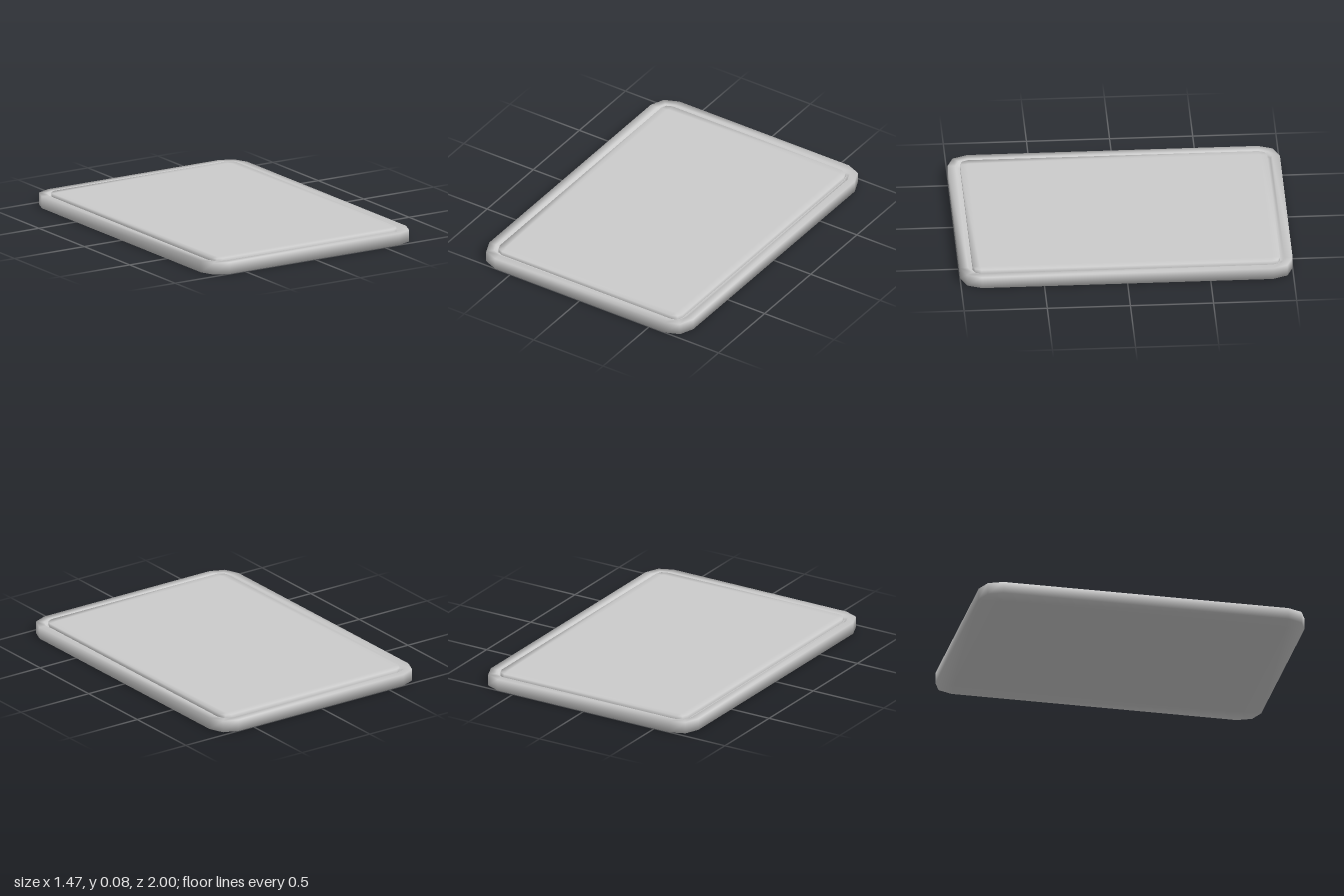
import * as THREE from 'three';

const HALF_X = 0.735, HALF_Z = 1, RADIUS = 0.125, CORNER_STEPS = 2;

// Rounded-rectangle outline, pulled in by `inset`, at height y
function ring(inset, y) {
  const points = [], r = RADIUS - inset;
  for (let corner = 0; corner < 4; corner++) {
    const sx = corner === 0 || corner === 3 ? 1 : -1;
    const sz = corner < 2 ? 1 : -1;
    for (let i = 0; i <= CORNER_STEPS; i++) {
      const a = (corner + i / CORNER_STEPS) * Math.PI / 2;
      points.push([
        sx * (HALF_X - RADIUS) + r * Math.cos(a), y,
        sz * (HALF_Z - RADIUS) + r * Math.sin(a),
      ]);
    }
  }
  return points;
}

// Skin a profile of [inset, y] rings, optionally closing the first and last ring
function loft(profile, capStart, capEnd) {
  const n = 4 * (CORNER_STEPS + 1), last = profile.length - 1;
  const positions = profile.flatMap(([inset, y]) => ring(inset, y)).flat();
  const index = [];
  for (let j = 0; j < last; j++) {
    for (let k = 0; k < n; k++) {
      const a = j * n + k, b = j * n + (k + 1) % n;
      index.push(a, a + n, b, b, a + n, b + n);
    }
  }
  const cap = (row, flip) => {
    const centre = positions.length / 3;
    positions.push(0, profile[row][1], 0);
    for (let k = 0; k < n; k++) {
      const a = row * n + k, b = row * n + (k + 1) % n;
      index.push(centre, flip ? a : b, flip ? b : a);
    }
  };
  if (capStart) cap(0, true);
  if (capEnd) cap(last, false);
  const geometry = new THREE.BufferGeometry();
  geometry.setAttribute('position', new THREE.Float32BufferAttribute(positions, 3));
  geometry.setIndex(index);
  geometry.computeVertexNormals();
  return geometry;
}

export function createModel() {
  const group = new THREE.Group();
  const material = new THREE.MeshStandardMaterial({ color: 0xcccccc });
  const add = (name, geometry) => {
    const mesh = new THREE.Mesh(geometry, material);
    mesh.name = name;
    group.add(mesh);
  };

  // Flat underside, outer wall, rim and the groove just inside it
  add('trayBody', loft([
    [0.11, 0], [0, 0], [0, 0.072], [0.048, 0.072], [0.058, 0.055], [0.076, 0.055],
  ], true, false));

  // Slightly raised panel standing inside the groove
  add('raisedPanel', loft([
    [0.076, 0.055], [0.076, 0.08], [0.119, 0.08],
  ], false, true));

  return group;
}
